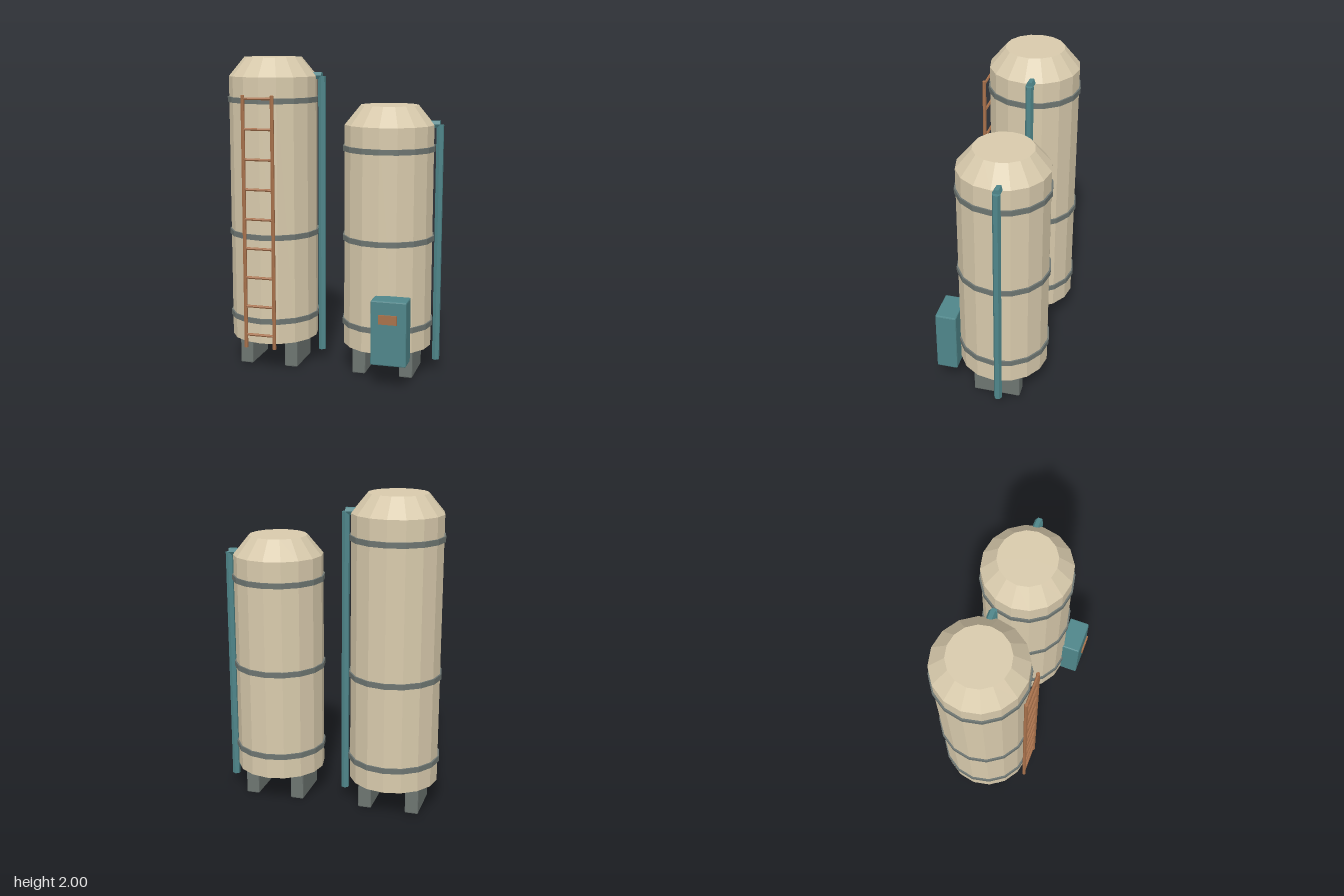
import * as THREE from 'three';
import { RoundedBoxGeometry } from 'three/addons/geometries/RoundedBoxGeometry.js';

function paint(name, color) {
  const m = new THREE.MeshStandardMaterial({ color, flatShading: true });
  m.name = name;
  return m;
}

export function createModel() {
  const cream = paint('cream shell', 0xd8caac);
  const grey = paint('grey steel', 0x6d7571);
  const teal = paint('teal pipework', 0x4f868a);
  const copper = paint('copper brown', 0xa8714b);
  const model = new THREE.Group();
  model.name = 'storageTanks';

  function add(parent, name, geometry, material, x, y, z) {
    const mesh = new THREE.Mesh(geometry, material);
    mesh.name = name;
    mesh.position.set(x, y, z);
    parent.add(mesh);
    return mesh;
  }
  const rod = (r, length) => new THREE.CylinderGeometry(r, r, length, 6);

  // One tank with its bands, feet and side pipe; shoulder is the top of the straight wall
  function tank(name, x, shoulder) {
    const g = new THREE.Group();
    g.name = name;
    g.position.set(x, 0, -0.06);
    model.add(g);

    // 16-sided shell with a conical shoulder and flat cap
    const profile = [[0, 0.185], [0.282, 0.185], [0.282, shoulder], [0.183, shoulder + 0.12], [0, shoulder + 0.12]];
    add(g, 'shell', new THREE.LatheGeometry(profile.map(p => new THREE.Vector2(...p)), 16), cream, 0, 0, 0);

    // Hoops
    for (const y of [0.333, 0.88, shoulder - 0.145]) {
      add(g, 'band', new THREE.CylinderGeometry(0.292, 0.292, 0.034, 16), grey, 0, y, 0);
    }

    // Feet
    for (const s of [-1, 1]) {
      add(g, 'foot', new RoundedBoxGeometry(0.086, 0.19, 0.3, 1, 0.008), grey, s * 0.153, 0.095, 0);
    }

    // Downpipe and its short inlet at the shoulder
    add(g, 'downpipe', rod(0.025, shoulder - 0.08), teal, 0.312, (shoulder + 0.08) / 2, -0.04);
    add(g, 'inletPipe', rod(0.025, 0.062), teal, 0.281, shoulder + 0.003, -0.04).rotation.z = Math.PI / 2;
  }
  tank('tallTank', -0.404, 1.88);
  tank('shortTank', 0.358, 1.59);

  // Ladder on the tall tank
  const ladder = new THREE.Group();
  ladder.name = 'ladder';
  ladder.position.set(-0.405, 0, 0.244);
  model.add(ladder);
  for (const s of [-1, 1]) add(ladder, 'rail', rod(0.012, 1.61), copper, s * 0.095, 0.967, 0);
  for (let i = 0; i < 9; i++) {
    add(ladder, 'rung', rod(0.009, 0.19), copper, 0, 0.248 + i * 0.188, 0).rotation.z = Math.PI / 2;
  }

  // Control cabinet with a plate on its door
  add(model, 'controlCabinet', new RoundedBoxGeometry(0.222, 0.408, 0.135, 1, 0.008), teal, 0.45, 0.356, 0.267);
  add(model, 'cabinetPlate', new THREE.BoxGeometry(0.114, 0.058, 0.0095), copper, 0.449, 0.448, 0.347);

  return model;
}
